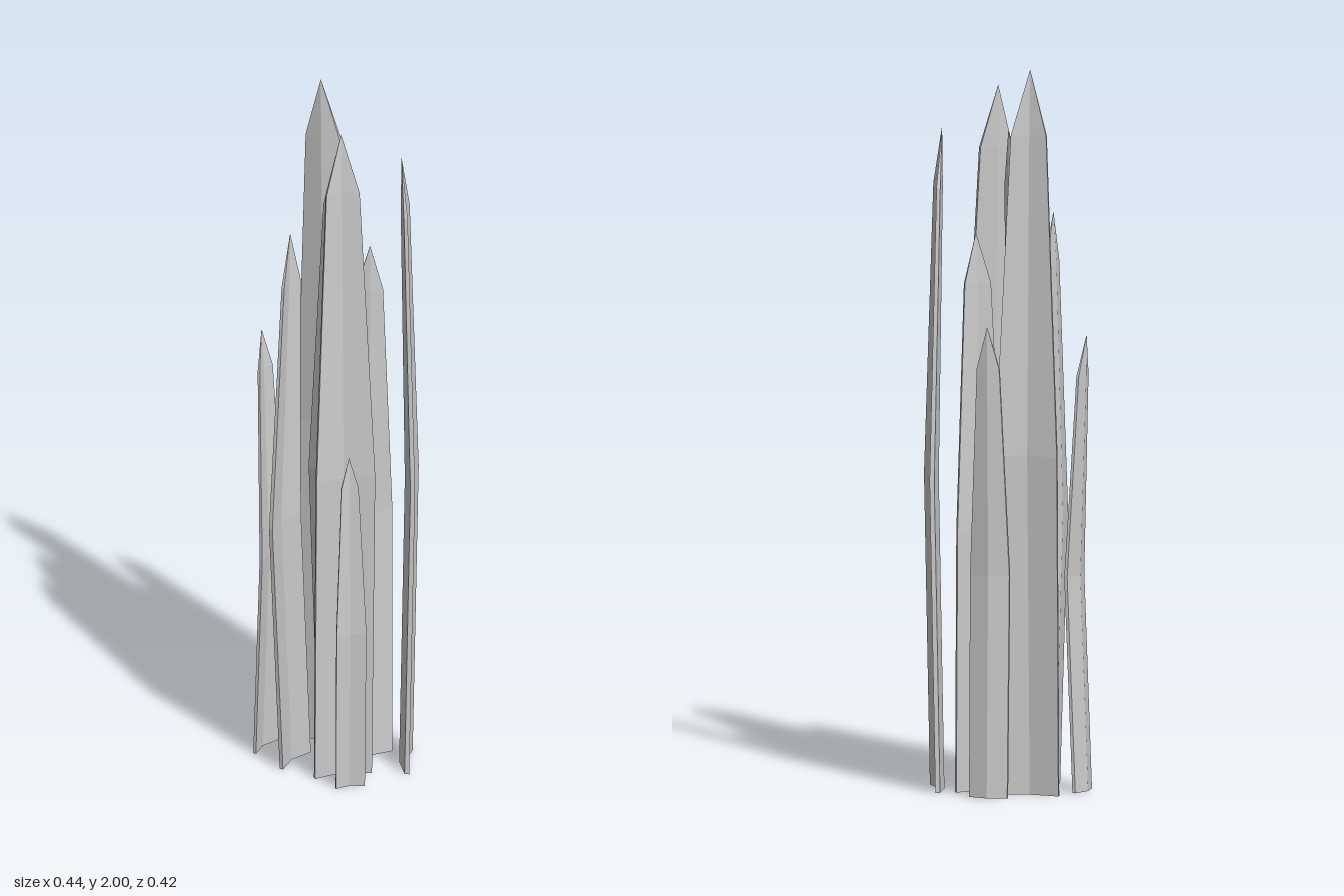
import * as THREE from 'three';

// Blade shape relative to its height
const HALF_WIDTH = 0.043, FOLD = 0.011, HALF_THICK = 0.0035;

// Rings up the blade: height, width factor, share of the bend
const RINGS = [[0, 0.97, 0], [0.47, 1, 1], [0.91, 0.57, 0.2]];

// name, root x, root z, height, direction the folded wings point (x, z), bend at mid height (x, z)
const BLADES = [
  ['frontShortBlade', -0.008, 0.176, 0.99, 0, 1, 0, 0.012],
  ['frontTallBlade', -0.009, 0.088, 1.93, 0, 1, 0, 0.027],
  ['backTallBlade', -0.015, -0.12, 2, 0.55, -0.83, 0.019, -0.027],
  ['backLeftBlade', 0.122, -0.142, 1.3, -0.64, 0.77, -0.01, 0.013],
  ['innerLeftBlade', 0.094, 0.002, 1.54, 0.06, -1, 0.003, -0.02],
  ['outerLeftBlade', 0.166, 0.068, 1.83, 0.95, 0.3, 0.015, 0.004],
  ['middleBlade', 0, -0.004, 1.82, -1, 0.1, -0.025, -0.002],
  ['outerRightBlade', -0.125, -0.024, 1.59, 0.66, 0.75, -0.038, 0.035],
  ['backRightBlade', -0.18, -0.126, 1.26, 0.66, 0.75, 0.012, 0.026],
];

function makeBlade([name, x, z, h, dirX, dirZ, bendX, bendZ]) {
  const angle = Math.atan2(dirX, dirZ), s = Math.sin(angle), c = Math.cos(angle);
  const points = [], index = [];

  // Chevron cross-sections: three points on the front, three on the back
  for (const [t, w, bend] of RINGS) {
    const hw = HALF_WIDTH * w * h, fold = FOLD * w * h, th = HALF_THICK * h * (t > 0.9 ? 0.8 : 1);
    const section = [[-hw, fold + th], [0, th], [hw, fold + th], [hw, fold - th], [0, -th], [-hw, fold - th]];
    for (const [u, v] of section) {
      points.push(x + bendX * bend + u * c + v * s, t * h, z + bendZ * bend - u * s + v * c);
    }
  }
  // Pointed tip
  const tip = RINGS.length * 6;
  points.push(x, h, z);

  for (let r = 0; r < RINGS.length; r++) {
    for (let i = 0; i < 6; i++) {
      const a = r * 6 + i, b = r * 6 + (i + 1) % 6;
      if (r === RINGS.length - 1) index.push(a, b, tip);
      else index.push(a, b, b + 6, a, b + 6, a + 6);
    }
  }
  // Underside
  index.push(0, 5, 4, 0, 4, 1, 1, 4, 3, 1, 3, 2);

  const indexed = new THREE.BufferGeometry();
  indexed.setAttribute('position', new THREE.Float32BufferAttribute(points, 3));
  indexed.setIndex(index);
  const geometry = indexed.toNonIndexed();
  geometry.computeVertexNormals();
  const mesh = new THREE.Mesh(geometry, new THREE.MeshStandardMaterial({ color: 0xcccccc, flatShading: true }));
  mesh.name = name;
  return mesh;
}

export function createModel() {
  const group = new THREE.Group();
  group.name = 'grassClump';
  for (const blade of BLADES) group.add(makeBlade(blade));
  return group;
}
